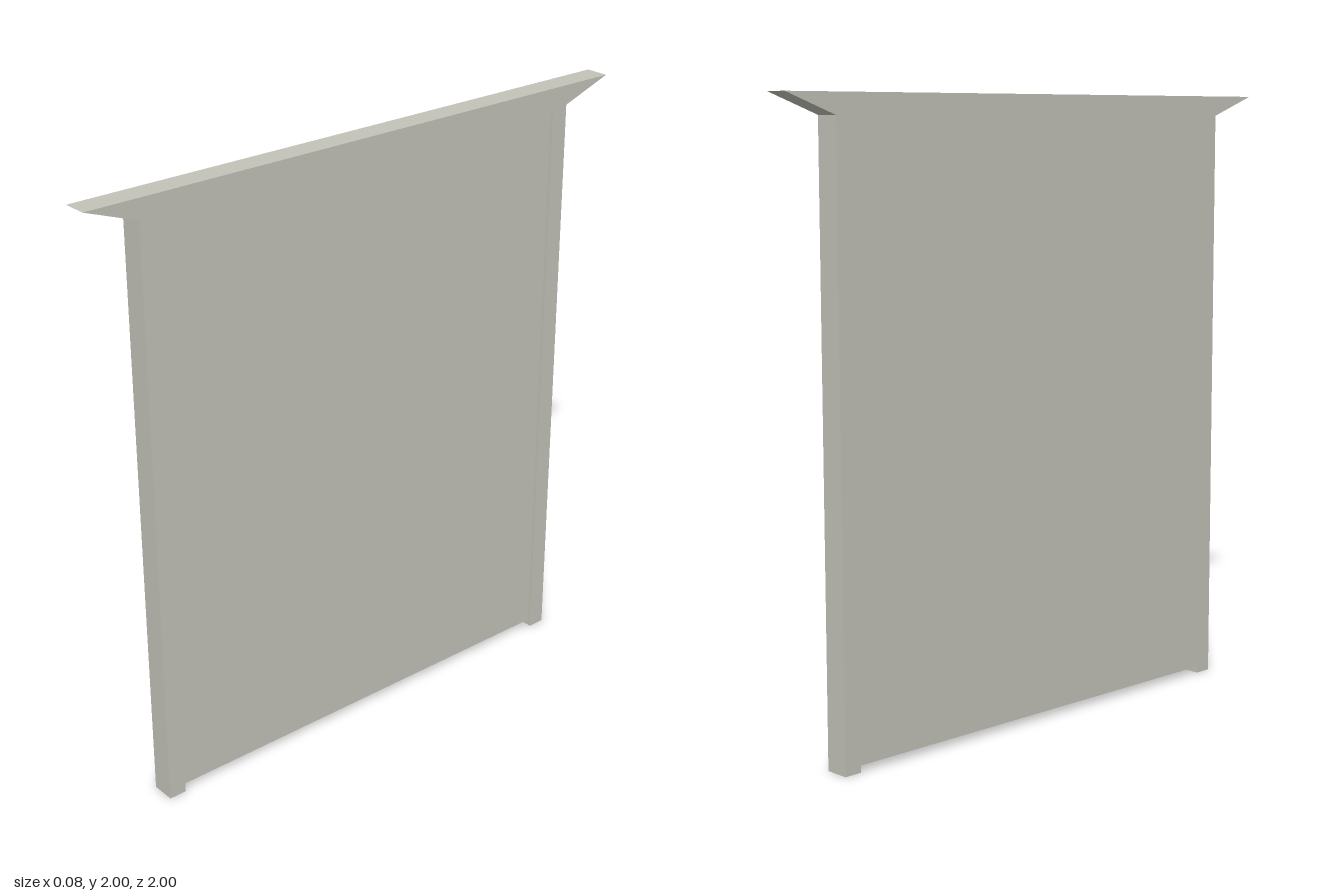
import * as THREE from 'three';

const HALF = 0.04; // half thickness along x

// Extrudes a (z, y) outline between two x positions
function slab(name, points, xMin, xMax, material) {
  const shape = new THREE.Shape(points.map(([z, y]) => new THREE.Vector2(z, y)));
  const geometry = new THREE.ExtrudeGeometry(shape, { depth: xMax - xMin, bevelEnabled: false });
  geometry.rotateY(-Math.PI / 2);
  geometry.translate(xMax, 0, 0);
  const mesh = new THREE.Mesh(geometry, material);
  mesh.name = name;
  return mesh;
}

export function createModel() {
  const stone = new THREE.MeshStandardMaterial({ color: 0xc4c3b9 });
  stone.name = 'paleStone';
  const group = new THREE.Group();
  group.name = 'wallPanel';

  const outer = 0.822, inner = 0.763, headerY = 1.935;

  // Two posts and a header with pointed overhangs, as one frame
  group.add(slab('frame', [
    [-outer, 0], [-inner, 0], [-inner, headerY], [inner, headerY],
    [inner, 0], [outer, 0], [outer, headerY], [1, 2], [-1, 2], [-outer, headerY],
  ], -HALF, HALF, stone));

  // Infill: flush on the -x side, slightly recessed on the +x side, raised off the floor
  group.add(slab('infillPanel', [
    [-inner, 0.022], [inner, 0.022], [inner, headerY], [-inner, headerY],
  ], -HALF, HALF - 0.01, stone));

  return group;
}
